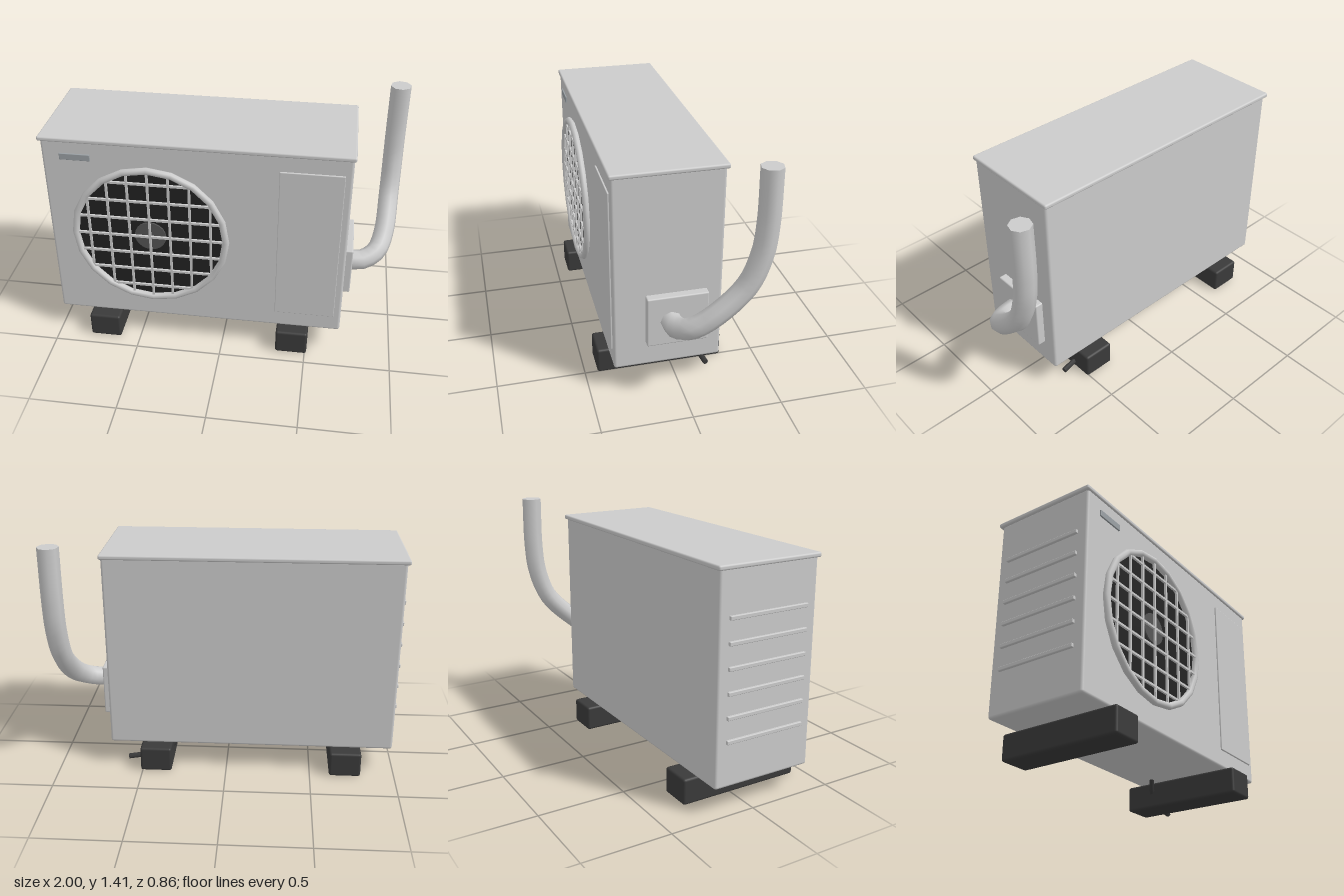
import * as THREE from 'three';
import { RoundedBoxGeometry } from 'three/addons/geometries/RoundedBoxGeometry.js';

const paint = (color) => new THREE.MeshStandardMaterial({ color });
const grey = paint(0xcccccc);
const rubber = paint(0x3a3a3a);
const black = paint(0x222222);
const hubGrey = paint(0x555555);
const badgeGrey = paint(0x9aa0a4);

export function createModel() {
  const model = new THREE.Group();

  const add = (name, geometry, material, x = 0, y = 0, z = 0, parent = model) => {
    const mesh = new THREE.Mesh(geometry, material);
    mesh.name = name;
    mesh.position.set(x, y, z);
    parent.add(mesh);
    return mesh;
  };

  // Box given by its lower and upper corners, rounded by r
  const block = (name, [x0, y0, z0], [x1, y1, z1], r, material = grey, parent = model) =>
    add(name, new RoundedBoxGeometry(x1 - x0, y1 - y0, z1 - z0, 2, r), material,
      (x0 + x1) / 2, (y0 + y1) / 2, (z0 + z1) / 2, parent);

  // Round pipe along a smooth path, closed at both ends
  const pipe = (name, points, radius, sides, material) => {
    const path = new THREE.CatmullRomCurve3(points.map((p) => new THREE.Vector3(...p)));
    const group = new THREE.Group();
    group.name = name;
    model.add(group);
    add(name + 'Wall', new THREE.TubeGeometry(path, 28, radius, sides), material, 0, 0, 0, group);
    const { normals, binormals } = path.computeFrenetFrames(28);
    for (const t of [0, 1]) {
      const end = path.getPointAt(t);
      const out = path.getTangentAt(t).multiplyScalar(t ? 1 : -1);
      const cap = add(name + 'End', new THREE.CircleGeometry(radius, sides), material, end.x, end.y, end.z, group);
      const n = normals[t * 28], b = binormals[t * 28];
      const side = t ? b.clone() : b.clone().negate();
      const right = n.clone();
      if (right.clone().cross(side).dot(out) < 0) side.negate();
      cap.quaternion.setFromRotationMatrix(new THREE.Matrix4().makeBasis(right, side, out));
    }
  };

  // Casing, lid and front details
  block('casing', [-0.985, 0.16, -0.235], [0.695, 1.315, 0.365], 0.015);
  block('lid', [-1.0, 1.303, -0.25], [0.705, 1.33, 0.375], 0.01);
  block('servicePanel', [0.31, 0.265, 0.35], [0.655, 1.215, 0.374], 0.004);
  block('badgePlate', [-0.885, 1.198, 0.355], [-0.715, 1.236, 0.373], 0.003, badgeGrey);

  // Fan opening with hub, rim and square grille
  const fan = new THREE.Group();
  fan.name = 'fan';
  fan.position.set(-0.405, 0.74, 0);
  model.add(fan);
  const R = 0.43;
  const disc = (name, r, z0, z1, sides, material) =>
    add(name, new THREE.CylinderGeometry(r, r, z1 - z0, sides), material, 0, 0, (z0 + z1) / 2, fan)
      .rotation.x = Math.PI / 2;
  disc('fanOpening', R, 0.35, 0.37, 20, black);
  disc('fanHub', 0.09, 0.36, 0.378, 20, hubGrey);
  add('fanRim', new THREE.TorusGeometry(R, 0.02, 8, 20), grey, 0, 0, 0.382, fan).rotation.z = Math.PI / 2;
  for (let i = -3; i <= 3; i++) {
    const offset = i * 0.115;
    const length = 2 * Math.sqrt(R * R - offset * offset) - 0.01;
    add('grilleUpright', new THREE.BoxGeometry(0.013, length, 0.012), grey, offset, 0, 0.385, fan);
    add('grilleCrossbar', new THREE.BoxGeometry(length, 0.013, 0.012), grey, 0, offset, 0.385, fan);
  }

  // Raised louvres on the -x end
  for (let i = 0; i < 6; i++) {
    const y = 0.415 + i * 0.13;
    block('louvre', [-1.0, y - 0.011, -0.175], [-0.97, y + 0.011, 0.305], 0.004);
  }

  // Connection plate and insulated pipe on the +x end
  block('connectionPlate', [0.68, 0.31, -0.15], [0.74, 0.61, 0.19], 0.008);
  pipe('insulatedPipe', [
    [0.71, 0.46, 0.06], [0.8, 0.46, 0.05], [0.88, 0.495, 0.0], [0.92, 0.57, -0.1],
    [0.936, 0.75, -0.28], [0.94, 0.93, -0.35], [0.94, 1.1, -0.37], [0.94, 1.41, -0.37],
  ], 0.06, 8, grey);

  // Feet running front to back
  for (const x of [-0.708, 0.418]) {
    block('foot', [x - 0.093, 0.005, -0.302], [x + 0.093, 0.155, 0.428], 0.014, rubber);
  }

  // Thin drain hose passing through one foot
  pipe('drainHose', [
    [0.28, 0.18, -0.1], [0.33, 0.1, -0.13], [0.42, 0.055, -0.16], [0.6, 0.033, -0.19],
  ], 0.016, 6, rubber);

  return model;
}
